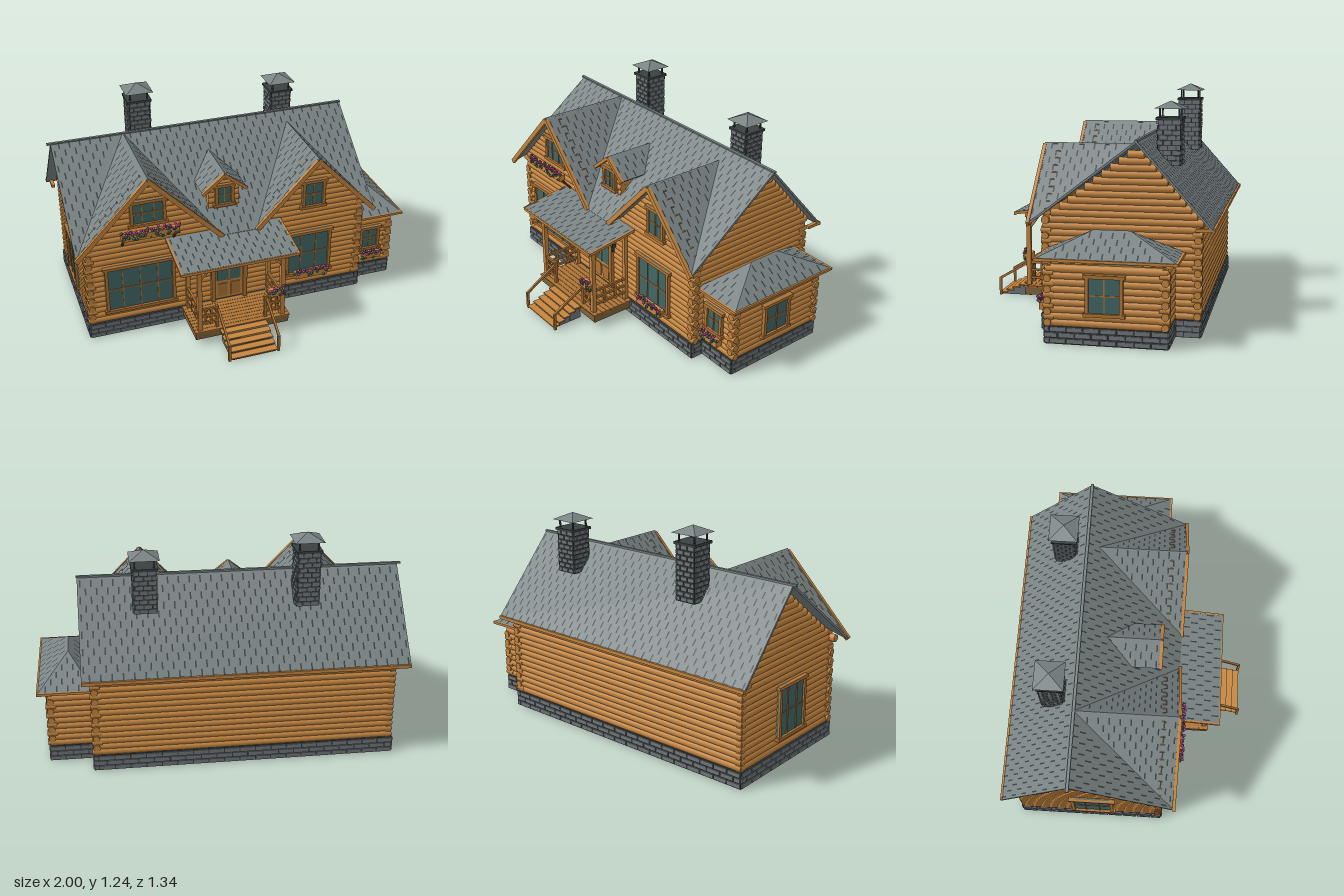
import * as THREE from 'three';
import { mergeGeometries } from 'three/addons/utils/BufferGeometryUtils.js';

const M = (name, color) => { const m = new THREE.MeshStandardMaterial({ color }); m.name = name; return m; };
const V = (x, y, z) => new THREE.Vector3(x, y, z);

export function createModel() {
  const house = new THREE.Group();
  house.name = 'logHouse';
  const log = M('log wood', 0xc58640), trim = M('trim wood', 0xae7436), dark = M('dark wood', 0x553717),
    deck = M('deck wood', 0x80633a), slate = M('roof shingle', 0x7a8485), slot = M('shingle gap and mortar', 0x3a4041),
    stone = M('stone', 0x70767a), glass = M('window glass', 0x426764), leaf = M('leaves', 0x215c42), bloom = M('blossom', 0xb23c8e);

  // ---- helpers ----
  const add = (name, mat, geos, parent = house) => {
    const mesh = new THREE.Mesh(mergeGeometries(geos.map(g => g.index ? g.toNonIndexed() : g)), mat);
    mesh.name = name;
    parent.add(mesh);
    return mesh;
  };
  const box = (x0, x1, y0, y1, z0, z1) =>
    new THREE.BoxGeometry(x1 - x0, y1 - y0, z1 - z0).translate((x0 + x1) / 2, (y0 + y1) / 2, (z0 + z1) / 2);
  const beam = (a, b, w, h) => {
    const m = new THREE.Matrix4().lookAt(b, a, V(0, 1, 0)).setPosition(a.clone().lerp(b, 0.5));
    return new THREE.BoxGeometry(w, h, a.distanceTo(b)).applyMatrix4(m);
  };
  const pole = (a, b, r) => {
    const m = new THREE.Matrix4().lookAt(b, a, V(0, 1, 0)).setPosition(a.clone().lerp(b, 0.5));
    return new THREE.CylinderGeometry(r, r, a.distanceTo(b), 14).rotateX(Math.PI / 2).applyMatrix4(m);
  };
  let seed = 7;
  const rnd = () => (seed = (seed * 16807) % 2147483647) / 2147483647;

  // Sloped roof panel with staggered shingle slots
  const slots = [];
  const panel = (name, pts, t = 0.012) => {
    const n = pts[1].clone().sub(pts[0]).cross(pts[2].clone().sub(pts[0])).normalize();
    if (n.y < 0) n.negate();
    const u = V(0, 1, 0).cross(n).normalize(), v = n.clone().cross(u), o = pts[0];
    const p2 = pts.map(p => { const d = p.clone().sub(o); return new THREE.Vector2(d.dot(u), d.dot(v)); });
    const m = new THREE.Matrix4().makeBasis(u, v, n).setPosition(o);
    const g = new THREE.ExtrudeGeometry(new THREE.Shape(p2), { depth: t, bevelEnabled: false });
    add(name, slate, [g.translate(0, 0, -t).applyMatrix4(m)]);
    const inside = (x, y) => p2.reduce((c, a, i) => {
      const b = p2[(i + 1) % p2.length];
      return (a.y > y) !== (b.y > y) && x < (b.x - a.x) * (y - a.y) / (b.y - a.y) + a.x ? !c : c;
    }, false);
    const bb = new THREE.Box2().setFromPoints(p2);
    for (let r = 0, y = bb.min.y + 0.026; y < bb.max.y; y += 0.047, r++)
      for (let x = bb.min.x + (r % 2 ? 0.015 : 0.044); x < bb.max.x; x += 0.058)
        if ([-0.021, 0.021].every(d => inside(x - 0.005, y + d) && inside(x + 0.005, y + d)))
          slots.push(new THREE.PlaneGeometry(0.008, 0.04).translate(x, y, 0.0025).applyMatrix4(m));
  };

  // Stone core faced with staggered bricks
  const masonry = (name, x0, x1, y0, y1, z0, z1, rows, len) => {
    add(name + 'Mortar', slot, [box(x0, x1, y0, y1, z0, z1)]);
    const bricks = [box(x0, x1, y0 - 0.002, y0 + 0.002, z0, z1)], h = (y1 - y0) / rows, e = 0.006, gap = 0.003;
    const run = (a, b, f) => {
      for (let r = 0; r < rows; r++)
        for (let s = a - (r % 2 ? len / 2 : 0); s < b - 0.01; s += len)
          bricks.push(f(Math.max(s, a) + gap, Math.min(s + len, b) - gap, y0 + r * h + gap, y0 + (r + 1) * h - gap));
    };
    run(x0, x1, (a, b, c, d) => box(a, b, c, d, z1 - e, z1 + e));
    run(x0, x1, (a, b, c, d) => box(a, b, c, d, z0 - e, z0 + e));
    run(z0, z1, (a, b, c, d) => box(x1 - e, x1 + e, c, d, a, b));
    run(z0, z1, (a, b, c, d) => box(x0 - e, x0 + e, c, d, a, b));
    add(name + 'Bricks', stone, bricks);
  };

  // ---- foundations ----
  masonry('mainFoundation', -0.925, 0.715, 0.002, 0.09, -0.605, 0.22, 3, 0.085);
  masonry('annexFoundation', 0.70, 0.95, 0.002, 0.09, -0.475, 0.145, 3, 0.085);

  // ---- log walls: wide overlapping logs give shallow grooves ----
  const P = 0.034, R = 0.0215, Y0 = 0.09;
  const logs = [], stubs = [];
  const xLog = (a, b, y, z) => logs.push(pole(V(a, y, z), V(b, y, z), R));
  const zLog = (a, b, y, x) => logs.push(pole(V(x, y, a), V(x, y, b), R));
  for (let i = 0; i < 14; i++) {
    const y = Y0 + (i + 0.5) * P;
    for (const z of [0.196, -0.584]) xLog(-0.92, 0.71, y, z);
    for (const x of [-0.903, 0.693]) zLog(-0.6, 0.213, y, x);
    if (i < 9) {
      for (const z of [0.124, -0.456]) xLog(0.7, 0.945, y, z);
      zLog(-0.47, 0.14, y, 0.931);
    }
  }
  // Stepped end gables
  for (let y = Y0 + 14.5 * P; y < 0.95; y += P) {
    const d = 1 - y - P / 2;
    for (const x of [-0.903, 0.693]) zLog(-0.26 - d / 1.13, -0.305 + d / 0.77, y, x);
  }
  // Front gables and dormer face
  const gables = [{ n: 'leftGable', x: -0.57, y: 1.0, w: 0.41, e: 0.57 }, { n: 'rightGable', x: 0.40, y: 0.95, w: 0.36, e: 0.57 }];
  for (const g of gables)
    for (let y = Y0 + 14.5 * P; y < g.y - 0.04; y += P) {
      const w = (g.y - y - 0.016) * g.w / (g.y - g.e);
      xLog(g.x - w, g.x + w, y, 0.196);
    }
  for (let y = 0.68; y < 0.86; y += P) {
    const w = Math.min(0.09, (0.87 - y) * 1.15);
    xLog(-0.11 - w, -0.11 + w, y, 0.126);
  }
  add('wallLogs', log, logs);
  add('wallCore', log, [box(-0.9, 0.69, 0.09, 0.56, -0.58, 0.19), box(0.69, 0.93, 0.09, 0.405, -0.455, 0.12)]);
  add('dormerSides', log, [box(-0.195, -0.18, 0.66, 0.79, -0.02, 0.13), box(-0.04, -0.025, 0.66, 0.79, -0.02, 0.13)]);
  // Projecting log ends at the corners
  const corner = (x, z, sx, sz, top) => {
    for (let y = 0.11; y < top; y += 0.0555) {
      stubs.push(pole(V(x - sx * 0.03, y, z), V(x + sx * 0.025, y, z), 0.019));
      stubs.push(pole(V(x, y + 0.0277, z - sz * 0.03), V(x, y + 0.0277, z + sz * 0.023), 0.019));
    }
  };
  corner(-0.907, 0.2, -1, 1, 0.55);
  corner(0.697, 0.2, 1, 1, 0.55);
  corner(0.697, -0.588, 1, -1, 0.55);
  corner(0.935, 0.128, 1, 1, 0.38);
  corner(0.935, -0.46, 1, -1, 0.38);
  add('cornerLogEnds', log, stubs);

  // ---- roofs ----
  const F = (x, z) => V(x, 1 - (z + 0.28) * 0.768, z);
  panel('mainRoofBack', [V(-0.98, 1, -0.28), V(0.76, 1, -0.28), V(0.76, 0.56, -0.67), V(-0.98, 0.56, -0.67)]);
  panel('mainRoofFront', [F(-0.98, -0.28), F(0.76, -0.28), F(0.76, 0.28), F(0.40, -0.215), F(0.04, 0.28), F(-0.16, 0.28), F(-0.57, -0.275), F(-0.98, 0.28)]);
  add('ridgeCap', slate, [box(-1, 0.765, 0.992, 1.002, -0.288, -0.272)]);
  const boards = [];
  const gableRoof = (n, x, y, w, e, front, bw) => {
    const back = -0.28 + (1 - y) / 0.768, low = -0.28 + (1 - e) / 0.768;
    for (const s of [-1, 1]) {
      panel(n + 'Roof', [V(x, y, back), V(x, y, front), V(x + s * w, e, front), V(x + s * w, e, Math.min(low, front - 0.001))]);
      boards.push(beam(V(x, y - bw * 0.6, front), V(x + s * w, e - bw * 0.3, front), 0.018, bw));
    }
  };
  for (const g of gables) gableRoof(g.n, g.x, g.y, g.w, g.e, 0.28, 0.026);
  gableRoof('dormer', -0.11, 0.89, 0.13, 0.78, 0.165, 0.018);
  // Back eave fascia and rafter tails
  boards.push(box(-0.98, 0.76, 0.548, 0.566, -0.676, -0.664));
  for (let x = -0.95; x < 0.76; x += 0.085) boards.push(box(x - 0.01, x + 0.01, 0.55, 0.568, -0.664, -0.58));
  // Hipped annex roof with a board around its eave
  const a = V(0.70, 0.437, 0.18), b = V(0.996, 0.437, 0.18), c = V(0.996, 0.437, -0.52), d = V(0.70, 0.437, -0.52),
    r0 = V(0.83, 0.56, -0.08), r1 = V(0.83, 0.56, -0.265);
  for (const q of [[a, b, r0], [b, c, r1, r0], [c, d, r1], [d, a, r0, r1]]) panel('annexRoof', q);
  boards.push(box(0.71, 1, 0.425, 0.439, 0.172, 0.186), box(0.71, 1, 0.425, 0.439, -0.526, -0.512), box(0.988, 1.002, 0.425, 0.439, -0.526, 0.186));
  // Porch roof
  panel('porchRoof', [V(-0.468, 0.578, 0.2), V(0.198, 0.578, 0.2), V(0.198, 0.528, 0.516), V(-0.468, 0.528, 0.516)]);
  boards.push(box(-0.47, 0.2, 0.51, 0.527, 0.512, 0.522));
  for (const x of [-0.468, 0.199]) boards.push(beam(V(x, 0.567, 0.22), V(x, 0.52, 0.52), 0.01, 0.016));
  add('roofEdgeBoards', log, boards);
  add('shingleSlots', slot, slots);

  // ---- chimneys ----
  for (const [n, x, top] of [['leftChimney', -0.45, 1.155], ['rightChimney', 0.41, 1.095]]) {
    masonry(n, x - 0.06, x + 0.06, 0.845, top - 0.012, -0.463, -0.343, Math.round((top - 0.857) / 0.028), 0.045);
    const caps = [box(x - 0.07, x + 0.07, top - 0.014, top, -0.473, -0.333)];
    for (const i of [-1, 1]) for (const j of [-1, 1]) caps.push(box(x + i * 0.05 - 0.004, x + i * 0.05 + 0.004, top, top + 0.048, -0.403 + j * 0.05 - 0.004, -0.403 + j * 0.05 + 0.004));
    add(n + 'Collar', slot, caps);
    add(n + 'Cap', slate, [new THREE.ConeGeometry(0.112, 0.038, 4, 1).rotateY(Math.PI / 4).toNonIndexed().translate(x, top + 0.065, -0.403)])
      .geometry.computeVertexNormals();
  }

  // ---- windows ----
  const windowUnit = (name, x, y, z, w, h, cols, rows, turn = 0) => {
    const g = new THREE.Group(), f = 0.018, bars = [];
    g.name = name;
    g.position.set(x, y, z);
    g.rotation.y = turn;
    house.add(g);
    add('pane', glass, [box(-w / 2, w / 2, -h / 2, h / 2, 0, 0.006)], g);
    for (const s of [-1, 1]) {
      bars.push(box(s * (w / 2 - f / 2) - f / 2, s * (w / 2 - f / 2) + f / 2, -h / 2, h / 2, -0.01, 0.016));
      bars.push(box(-w / 2 - 0.01, w / 2 + 0.01, s * (h / 2 - f / 2) - f / 2, s * (h / 2 - f / 2) + f / 2, -0.01, 0.02));
    }
    for (let i = 1; i < cols; i++) bars.push(box(-w / 2 + w * i / cols - 0.003, -w / 2 + w * i / cols + 0.003, -h / 2, h / 2, 0, 0.011));
    for (let i = 1; i < rows; i++) bars.push(box(-w / 2, w / 2, -h / 2 + h * i / rows - 0.003, -h / 2 + h * i / rows + 0.003, 0, 0.01));
    add('frame', trim, bars, g);
  };
  windowUnit('leftFrontWindow', -0.625, 0.305, 0.219, 0.4, 0.3, 4, 2);
  windowUnit('rightFrontWindow', 0.38, 0.31, 0.219, 0.28, 0.29, 3, 2);
  windowUnit('leftGableWindow', -0.565, 0.765, 0.219, 0.2, 0.16, 3, 2);
  windowUnit('rightGableWindow', 0.4, 0.7, 0.219, 0.14, 0.18, 2, 2);
  windowUnit('dormerWindow', -0.11, 0.75, 0.149, 0.11, 0.14, 2, 2);
  windowUnit('annexFrontWindow', 0.81, 0.275, 0.147, 0.13, 0.16, 2, 2);
  windowUnit('annexSideWindow', 0.954, 0.255, -0.16, 0.19, 0.21, 2, 2, Math.PI / 2);
  windowUnit('leftSideWindow', -0.926, 0.305, -0.18, 0.24, 0.3, 3, 2, -Math.PI / 2);
  // Narrow glazing tucked under the annex eave
  add('annexTransom', glass, [box(0.925, 0.931, 0.405, 0.427, -0.34, -0.12)]);

  // ---- door and lanterns ----
  add('door', log, [box(-0.195, -0.02, 0.1, 0.435, 0.205, 0.223)]);
  add('doorGlass', glass, [box(-0.178, -0.037, 0.225, 0.42, 0.222, 0.227)]);
  add('doorFrame', trim, [box(-0.215, -0.19, 0.09, 0.45, 0.2, 0.236), box(-0.025, 0, 0.09, 0.45, 0.2, 0.236), box(-0.225, 0.01, 0.43, 0.455, 0.2, 0.238),
    box(-0.111, -0.104, 0.225, 0.42, 0.222, 0.23), box(-0.178, -0.037, 0.345, 0.352, 0.222, 0.23),
    box(-0.175, -0.117, 0.12, 0.205, 0.222, 0.228), box(-0.098, -0.04, 0.12, 0.205, 0.222, 0.228)]);
  add('lanterns', slot, [-0.24, 0.022].flatMap(x => [box(x - 0.007, x + 0.007, 0.355, 0.38, 0.23, 0.245), box(x - 0.003, x + 0.003, 0.38, 0.4, 0.215, 0.24)]));

  // ---- porch ----
  add('porchDeck', deck, [box(-0.385, 0.165, 0.04, 0.084, 0.225, 0.475)]);
  const planks = [];
  for (let i = 0; i < 9; i++) planks.push(box(-0.39, 0.17, 0.084, 0.092, 0.222 + i * 0.029, 0.249 + i * 0.029));
  add('deckPlanks', trim, planks);
  const posts = [box(-0.44, 0.17, 0.495, 0.52, 0.445, 0.467)], rails = [];
  for (const [x, s] of [[-0.355, 1], [0.13, -1]]) {
    posts.push(box(x - 0.013, x + 0.013, 0.09, 0.51, 0.442, 0.468), box(x - 0.012, x + 0.012, 0.09, 0.55, 0.222, 0.242));
    posts.push(beam(V(x, 0.42, 0.455), V(x + s * 0.075, 0.505, 0.455), 0.014, 0.014), beam(V(x, 0.42, 0.455), V(x, 0.515, 0.385), 0.014, 0.014));
    posts.push(beam(V(x, 0.55, 0.22), V(x, 0.51, 0.46), 0.018, 0.02));
    const x2 = x + s * 0.1;
    for (const y of [0.135, 0.18, 0.225]) rails.push(beam(V(x, y, 0.23), V(x, y, 0.455), 0.012, 0.014), beam(V(x, y, 0.455), V(x2, y, 0.455), 0.012, 0.014));
    for (const t of [0.33, 0.67]) rails.push(box(x - 0.005, x + 0.005, 0.12, 0.225, 0.23 + t * 0.22 - 0.005, 0.24 + t * 0.22), box(x + s * t * 0.1 - 0.005, x + s * t * 0.1 + 0.005, 0.12, 0.225, 0.45, 0.46));
    rails.push(box(x2 - 0.008, x2 + 0.008, 0.09, 0.235, 0.447, 0.463));
    // Stair handrail
    const hx = s > 0 ? -0.25 : 0.036;
    rails.push(beam(V(hx, 0.215, 0.465), V(hx, 0.1, 0.66), 0.012, 0.014), box(hx - 0.007, hx + 0.007, 0, 0.105, 0.652, 0.666));
  }
  add('porchPosts', log, posts);
  add('porchRails', trim, rails);
  const treads = [], risers = [];
  for (let i = 0; i < 5; i++) {
    const z = 0.475 + i * 0.037, y = 0.08 - i * 0.016;
    treads.push(box(-0.245, 0.03, y - 0.008, y, z, z + 0.042));
    risers.push(box(-0.235, 0.02, 0, y - 0.008, z, z + 0.036));
  }
  add('stairTreads', log, treads);
  add('stairBlocks', stone, risers);

  // ---- flower boxes: smooth leaf clumps with blossoms on top and in front ----
  const planter = (name, x, y, z, w) => {
    const g = new THREE.Group(), green = [], pink = [];
    g.name = name;
    house.add(g);
    add('trough', log, [box(x - w / 2, x + w / 2, y - 0.02, y + 0.018, z - 0.02, z + 0.02)], g);
    const n = Math.round(w * 130);
    for (let i = 0; i < n; i++) {
      const px = x + ((i + rnd()) / n - 0.5) * w, py = y - 0.02 + rnd() * 0.055, pz = z + 0.004 + rnd() * 0.02;
      green.push(new THREE.IcosahedronGeometry(0.009, 1).translate(px, py, pz));
      if (i % 4 < 3) pink.push(new THREE.IcosahedronGeometry(0.0075, 1).translate(px + 0.005, y + 0.016 + rnd() * 0.03, z + 0.012 + rnd() * 0.02));
    }
    add('foliage', leaf, green, g);
    add('flowers', bloom, pink, g);
  };
  planter('gableFlowerBox', -0.57, 0.67, 0.285, 0.32);
  planter('windowFlowerBox', 0.39, 0.18, 0.25, 0.2);
  planter('annexFlowerBox', 0.81, 0.17, 0.172, 0.13);
  planter('porchFlowerBox', 0.09, 0.255, 0.465, 0.09);
  add('flowerBoxBrackets', dark, [-0.715, -0.425].map(x => beam(V(x, 0.58, 0.22), V(x, 0.65, 0.28), 0.01, 0.012)));
  return house;
}
